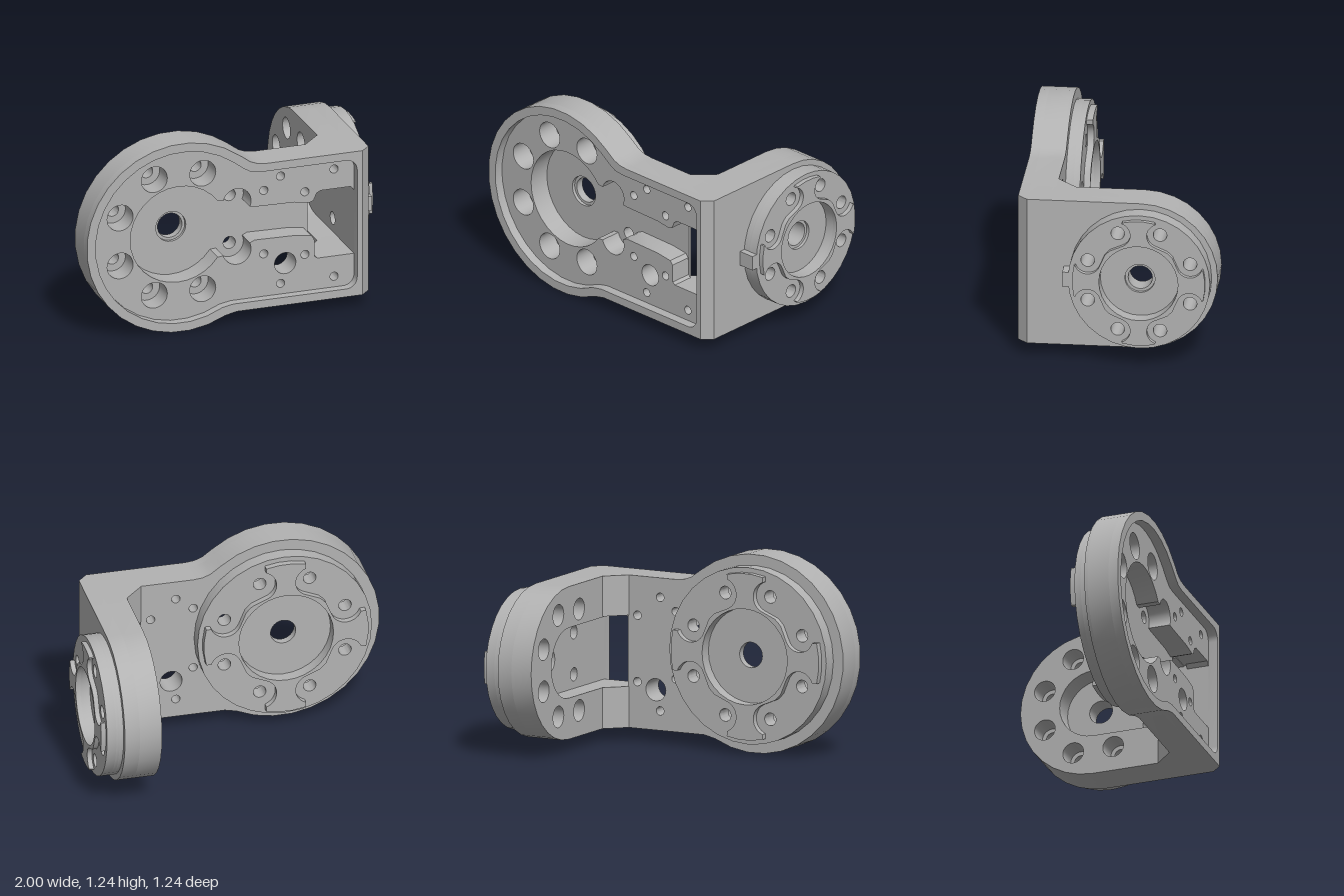
import * as THREE from 'three';
import { toCreasedNormals } from 'three/addons/utils/BufferGeometryUtils.js';

const D = Math.PI / 180;
const steel = new THREE.MeshStandardMaterial({ color: 0xb2b2b2 });
steel.name = 'machined grey';

// points along an arc, angles in degrees
function arc(cx, cy, r, a0, a1) {
  const n = Math.max(2, Math.ceil(Math.abs(a1 - a0) / 11.25));
  return Array.from({ length: n + 1 }, (_, i) => {
    const a = (a0 + (a1 - a0) * i / n) * D;
    return [cx + r * Math.cos(a), cy + r * Math.sin(a)];
  });
}
const circle = (cx, cy, r) => arc(cx, cy, r, 0, 360).slice(0, -1);
const vecs = (pts) => pts.map(([x, y]) => new THREE.Vector2(x, y));

// eight bolt positions on a circle, at 22.5 degrees off the axes
const boltRing = (cx, cy, r) => Array.from({ length: 8 }, (_, i) => {
  const a = (22.5 + 45 * i) * D;
  return [cx + r * Math.cos(a), cy + r * Math.sin(a)];
});
const holesAt = (centres, r) => centres.map(([x, y]) => circle(x, y, r));

// flat slab between two depths; axis x uses outline (-z, y)
function slab(name, outline, holes, from, to, axis) {
  const shape = new THREE.Shape(vecs(outline));
  for (const h of holes) shape.holes.push(new THREE.Path(vecs(h)));
  let g = new THREE.ExtrudeGeometry(shape, { depth: to - from, bevelEnabled: false });
  g.translate(0, 0, from);
  if (axis === 'x') g.rotateY(Math.PI / 2);
  g = toCreasedNormals(g, 0.45);
  const m = new THREE.Mesh(g, steel);
  m.name = name;
  return m;
}

// prism with a cross-section in (x, z), running from y0 to y1
function prism(name, pts, y0, y1) {
  const shape = new THREE.Shape(vecs(pts.map(([x, z]) => [x, -z])));
  const g = new THREE.ExtrudeGeometry(shape, { depth: y1 - y0, bevelEnabled: false });
  g.rotateX(-Math.PI / 2).translate(0, y0, 0);
  const m = new THREE.Mesh(g, steel);
  m.name = name;
  return m;
}

// raised flange face: four pads joined by an inner ring, cut back around the bolts
function padOutline(cx, cy, R, boltR, lobe) {
  const pts = [];
  for (let q = 0; q < 4; q++) {
    const t = q * 90;
    const bolt = (a) => [cx + boltR * Math.cos((t + a) * D), cy + boltR * Math.sin((t + a) * D)];
    pts.push(...arc(cx, cy, R, t - 14, t + 14));
    pts.push(...arc(...bolt(22.5), lobe, t - 20, t - 157.5));
    pts.push(...arc(cx, cy, boltR * 0.8, t + 40, t + 50));
    pts.push(...arc(...bolt(67.5), lobe, t + 247.5, t + 110));
  }
  return pts;
}

function frontArm() {
  const g = new THREE.Group();
  g.name = 'frontArm';
  const cx = -0.378, cy = 0.625;
  const outline = (right) => [
    ...arc(cx, cy, 0.622, 52, 297), [-0.02, 0.088],
    [right, 0.088], [right, 1.042], [0.18, 1.042], [0.12, 1.048], [0.07, 1.067],
  ];
  const inset = [
    ...arc(cx, cy, 0.565, 53, 298), [-0.04, 0.14], ...arc(0.7, 0.21, 0.07, -90, 0),
    ...arc(0.7, 0.92, 0.07, 0, 90), [0.14, 0.99], [0.08, 0.997], [0.03, 1.025],
  ];
  const bolts = boltRing(cx, cy, 0.414);
  const [upper, lower] = [bolts[0], bolts[7]];
  // central well, cable channel and window in one outline
  const well = [
    ...arc(cx, cy, 0.316, 36, 324),
    ...arc(...lower, 0.092, -165, 25),
    [0.12, 0.52], [0.38, 0.515], [0.49, 0.50], [0.51, 0.475], [0.512, 0.36], [0.53, 0.345],
    [0.77, 0.345], [0.77, 0.765], [0.75, 0.79],
    [0.55, 0.79], [0.525, 0.775], [0.505, 0.73], [0.48, 0.72], [0.38, 0.735], [0.12, 0.74],
    ...arc(...upper, 0.092, -25, 165),
  ];
  const window = [[0.515, 0.345], [0.77, 0.345], [0.77, 0.79], [0.515, 0.79]];
  const screws = holesAt([[0.29, 0.92], [0.18, 0.84], [0.45, 0.795], [0.45, 0.38], [0.18, 0.42], [0.29, 0.21]], 0.027);
  const blind = holesAt([[0.64, 0.92], [0.64, 0.21]], 0.027);
  const port = circle(0.32, 0.34, 0.07);
  const boltHoles = holesAt(bolts, 0.04);

  g.add(
    slab('armRim', outline(0.805), [inset], 0.56, 0.62),
    slab('armBody', outline(0.865), [well, port, ...screws, ...blind, ...holesAt(bolts.slice(1, 7), 0.085)], 0.42, 0.56),
    slab('armFloor', outline(0.865), [window, port, circle(cx, cy, 0.098), ...screws, ...boltHoles], 0.40, 0.42),
    slab('rearFlangeBase', circle(cx, cy, 0.553), [circle(cx, cy, 0.08), ...boltHoles], 0.35, 0.40),
    slab('rearFlangeRing', circle(cx, cy, 0.553), [circle(cx, cy, 0.30), ...boltHoles], 0.31, 0.35),
    slab('rearFlangePads', padOutline(cx, cy, 0.522, 0.414, 0.098), [circle(cx, cy, 0.30)], 0.27, 0.31),
  );
  return g;
}

function sideArm() {
  const g = new THREE.Group();
  g.name = 'sideArm';
  const cx = 0.145, cy = 0.565, back = -0.40;
  const round = arc(cx, cy, 0.477, -90, 90);
  const outline = [[back, 0.088], ...round, [back, 1.042]];
  // inner layer has a slot running from the window to the round well
  const slotted = [...outline, [back, 0.785], ...arc(cx, cy, 0.22, 90, -90), [back, 0.345]];
  const bolts = boltRing(cx, cy, 0.343);
  const boltHoles = holesAt(bolts, 0.042);
  // bolts beside the slot opening lie on the slot floor
  const sunk = bolts.filter(([u, v]) => !(u < cx && Math.abs(v - cy) < 0.2));

  g.add(
    slab('sideArmInner', slotted, holesAt(sunk, 0.068), 0.63, 0.77, 'x'),
    slab('sideArmOuter', outline, [circle(cx, cy, 0.075), ...boltHoles], 0.77, 0.865, 'x'),
    slab('sideFlangeBase', circle(cx, cy, 0.44), [circle(cx, cy, 0.075), ...boltHoles], 0.865, 0.89, 'x'),
    slab('sideFlangeStep', circle(cx, cy, 0.44), [circle(cx, cy, 0.093), ...boltHoles], 0.89, 0.91, 'x'),
    slab('sideFlangeRing', circle(cx, cy, 0.44), [circle(cx, cy, 0.245), ...boltHoles], 0.91, 0.97, 'x'),
    slab('sideFlangePads', padOutline(cx, cy, 0.412, 0.343, 0.08), [circle(cx, cy, 0.245)], 0.97, 1.0, 'x'),
    slab('locatingTab', [[-0.33, 0.515], [-0.27, 0.515], [-0.27, 0.61], [-0.33, 0.61]], [], 0.865, 0.97, 'x'),
  );
  return g;
}

export function createModel() {
  const model = new THREE.Group();
  model.name = 'angleBracket';
  model.add(frontArm(), sideArm());
  // bevelled outer corner and the two halves of the inner gusset
  model.add(prism('cornerBevel', [[0.805, 0.62], [0.865, 0.56], [0.805, 0.56]], 0.088, 1.042));
  for (const [y0, y1] of [[0.088, 0.345], [0.79, 1.042]]) {
    model.add(prism('innerGusset', [[0.51, 0.40], [0.63, 0.40], [0.63, 0.28]], y0, y1));
  }
  return model;
}
